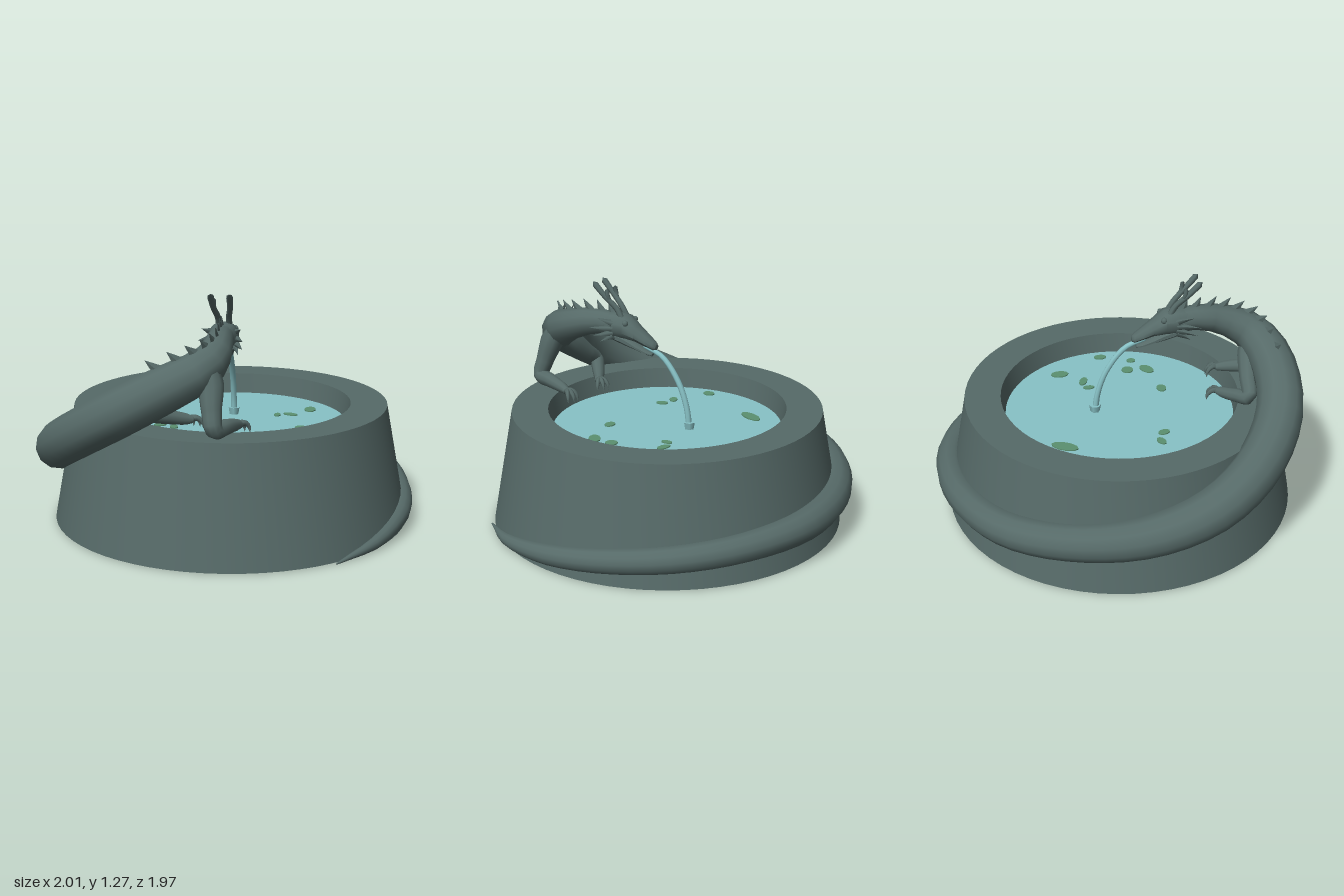
import * as THREE from 'three';
import { toCreasedNormals } from 'three/addons/utils/BufferGeometryUtils.js';

const CX = 0.02, CZ = 0.03, WATER_Y = 0.51;
const V = (x, y, z) => new THREE.Vector3(x, y, z);
const paint = (name, color) => {
  const m = new THREE.MeshStandardMaterial({ color });
  m.name = name;
  return m;
};

// Smooth path through [x, y, z, radius] rows.
const pathOf = rows => new THREE.CatmullRomCurve3(rows.map(p => V(p[0], p[1], p[2])));

// Radius between two rows at curve parameter t.
function radiusAt(rows, t) {
  const f = t * (rows.length - 1), i = Math.min(Math.floor(f), rows.length - 2);
  return THREE.MathUtils.lerp(rows[i][3], rows[i + 1][3], f - i);
}

// Tube whose rings are scaled to the radii in the rows.
function taperedTube(rows, steps, sides) {
  const curve = pathOf(rows);
  const geo = new THREE.TubeGeometry(curve, steps, 1, sides);
  const pos = geo.attributes.position, v = V(0, 0, 0);
  for (let i = 0; i <= steps; i++) {
    const c = curve.getPointAt(i / steps);
    const r = radiusAt(rows, curve.getUtoTmapping(i / steps));
    for (let j = 0; j <= sides; j++) {
      const k = i * (sides + 1) + j;
      v.fromBufferAttribute(pos, k).sub(c).multiplyScalar(r).add(c);
      pos.setXYZ(k, v.x, v.y, v.z);
    }
  }
  return geo;
}

// Elliptical sections [z, y, halfWidth, halfHeight] running towards -z, closed at both ends.
function loft(sections, sides) {
  const first = sections[0], last = sections[sections.length - 1];
  const rings = [[first[0], first[1], 0, 0], ...sections, [last[0], last[1], 0, 0]];
  const pos = [], index = [];
  rings.forEach(([z, y, w, h], i) => {
    for (let j = 0; j < sides; j++) {
      const a = (j + 0.5) / sides * Math.PI * 2;
      pos.push(CX + Math.cos(a) * w, y + Math.sin(a) * h, z);
      if (i === rings.length - 1) continue;
      const k = i * sides + j, n = i * sides + (j + 1) % sides;
      index.push(k, k + sides, n, n, k + sides, n + sides);
    }
  });
  const geo = new THREE.BufferGeometry();
  geo.setAttribute('position', new THREE.Float32BufferAttribute(pos, 3));
  geo.setIndex(index);
  return toCreasedNormals(geo, 0.8);
}

export function createModel() {
  const stone = paint('stone', 0x566a68);
  const water = paint('water', 0x88c2c6);
  const leaf = paint('lily green', 0x5b9070);
  const model = new THREE.Group();
  model.name = 'dragonFountain';
  const add = (name, geo, mat = stone, parent = model) => {
    const m = new THREE.Mesh(geo, mat);
    m.name = name;
    parent.add(m);
    return m;
  };

  // Basin and pool
  const profile = [[0, 0], [0.955, 0], [0.84, 0.62], [0.645, 0.62], [0.615, 0.47], [0, 0.47]];
  const basin = new THREE.LatheGeometry(profile.map(p => new THREE.Vector2(...p)), 64);
  add('basin', toCreasedNormals(basin, 0.6)).position.set(CX, 0, CZ);
  const pool = add('poolWater', new THREE.CircleGeometry(0.623, 64), water);
  pool.rotation.x = -Math.PI / 2;
  pool.position.set(CX, WATER_Y, CZ);

  // Lily pads: x, z, half width, half length, turn
  const pads = [[-0.3, -0.32, 0.035, 0.075, -0.5], [0.43, -0.24, 0.032, 0.05, 0], [0.26, -0.1, 0.018, 0.032, 0],
    [0.33, -0.12, 0.042, 0.022, -0.4], [0.58, 0.02, 0.024, 0.036, 0], [-0.53, 0.06, 0.03, 0.035, -0.4],
    [-0.34, 0.19, 0.034, 0.022, 0.4], [-0.26, 0.22, 0.022, 0.034, 0.3], [0.41, 0.15, 0.034, 0.034, 0],
    [0.51, 0.19, 0.022, 0.026, 0], [0.4, 0.26, 0.05, 0.032, 0.6], [0.18, 0.3, 0.035, 0.027, 0]];
  for (const [x, z, w, l, turn] of pads) {
    const pad = add('lilyPad', new THREE.CylinderGeometry(1, 1, 0.006, 10), leaf);
    pad.scale.set(w, 1, l);
    pad.rotation.y = turn;
    pad.position.set(x, WATER_Y + 0.003, z);
  }

  // Jet from the mouth and its splash
  add('waterJet', taperedTube([[CX, 0.935, 0.17, 0.012], [CX, 0.89, 0.06, 0.015], [CX, 0.76, -0.04, 0.016],
    [CX, 0.62, -0.09, 0.016], [CX, 0.5, -0.105, 0.018]], 16, 8), water);
  add('splash', new THREE.CylinderGeometry(0.033, 0.026, 0.04, 6), water).position.set(CX, WATER_Y + 0.018, -0.105);

  // Body: tail tip, once round the basin, up over the rim to the neck
  const body = [[0.64, 0.0, 0.78, 0.004], [0.83, 0.035, 0.53, 0.035], [0.94, 0.08, 0.2, 0.055],
    [0.93, 0.12, -0.13, 0.065], [0.82, 0.16, -0.46, 0.07], [0.58, 0.185, -0.72, 0.075],
    [0.22, 0.2, -0.885, 0.085], [-0.2, 0.215, -0.87, 0.09], [-0.58, 0.235, -0.67, 0.095],
    [-0.81, 0.275, -0.33, 0.1], [-0.89, 0.33, 0.04, 0.112], [-0.85, 0.43, 0.37, 0.122],
    [-0.69, 0.565, 0.63, 0.125], [-0.45, 0.72, 0.79, 0.125], [-0.2, 0.86, 0.81, 0.118],
    [-0.03, 0.945, 0.74, 0.105], [0.02, 1.0, 0.62, 0.085], [0.02, 1.035, 0.48, 0.07], [0.02, 1.035, 0.34, 0.062]];
  add('body', taperedTube(body, 60, 12));

  // Back spines, leaning towards the tail
  const spine = pathOf(body), end = body.length - 1;
  for (let f = 14; f <= 17.7; f += 0.46) {
    const t = f / end, dir = spine.getTangent(t);
    const up = V(0, 1, 0).addScaledVector(dir, -dir.y).normalize();
    const lean = up.clone().addScaledVector(dir, -0.45).normalize();
    const side = V(0, 0, 0).crossVectors(lean, dir).normalize();
    const along = V(0, 0, 0).crossVectors(side, lean);
    const spike = add('backSpine', new THREE.ConeGeometry(0.028, 0.075, 4).toNonIndexed());
    spike.geometry.computeVertexNormals();
    spike.scale.x = 0.4;
    spike.quaternion.setFromRotationMatrix(new THREE.Matrix4().makeBasis(side, lean, along));
    spike.position.copy(spine.getPoint(t)).addScaledVector(up, radiusAt(body, t) + 0.02);
  }

  // Head with open jaws
  const head = new THREE.Group();
  head.name = 'head';
  model.add(head);
  add('skull', loft([[0.42, 1.03, 0.06, 0.062], [0.34, 1.035, 0.082, 0.073], [0.27, 1.03, 0.077, 0.068],
    [0.21, 1.0, 0.058, 0.046], [0.15, 0.967, 0.044, 0.033], [0.11, 0.945, 0.033, 0.025], [0.095, 0.94, 0.018, 0.015]], 10), stone, head);
  add('lowerJaw', loft([[0.36, 0.985, 0.06, 0.035], [0.27, 0.955, 0.052, 0.032], [0.21, 0.927, 0.04, 0.018],
    [0.15, 0.902, 0.028, 0.012], [0.12, 0.893, 0.014, 0.008]], 10), stone, head);

  for (const s of [-1, 1]) {
    const at = (x, y, z, r) => [CX + s * x, y, z, r];
    add('brow', new THREE.SphereGeometry(0.018, 8, 6), stone, head).position.set(CX + s * 0.052, 1.06, 0.26);
    // Branched horns
    add('horn', taperedTube([at(0.028, 1.07, 0.29, 0.017), at(0.028, 1.13, 0.325, 0.016),
      at(0.042, 1.19, 0.385, 0.015), at(0.048, 1.265, 0.455, 0.018), at(0.048, 1.268, 0.458, 0.001)], 14, 7), stone, head);
    add('hornBranch', taperedTube([at(0.035, 1.16, 0.36, 0.012), at(0.044, 1.2, 0.372, 0.012),
      at(0.04, 1.235, 0.376, 0.012), at(0.04, 1.237, 0.376, 0.001)], 8, 6), stone, head);
    // Cheek frill
    for (const [dx, y, z] of [[0.1, 1.085, 0.41], [0.115, 1.03, 0.45], [0.11, 0.985, 0.43], [0.085, 0.95, 0.4]]) {
      const root = V(CX + s * 0.06, 1.02 + (y - 1.02) * 0.5, 0.33), tip = V(CX + s * dx, y, z);
      const dir = tip.clone().sub(root);
      const spike = add('cheekSpike', new THREE.ConeGeometry(0.021, dir.length(), 5), stone, head);
      spike.position.copy(root).add(tip).multiplyScalar(0.5);
      spike.quaternion.setFromUnitVectors(V(0, 1, 0), dir.normalize());
    }
  }

  // Forelegs: shoulder, elbow and foot on the rim, with claws over its inner edge
  const legs = [
    ['leftForeleg', [[0.0, 0.96, 0.74, 0.05], [0.02, 0.88, 0.77, 0.066], [0.03, 0.76, 0.815, 0.05],
      [0.045, 0.675, 0.835, 0.044], [0.09, 0.667, 0.74, 0.04], [0.125, 0.652, 0.64, 0.03], [0.14, 0.642, 0.6, 0.02]], 0.3],
    ['rightForeleg', [[-0.03, 0.92, 0.74, 0.05], [-0.1, 0.85, 0.71, 0.062], [-0.2, 0.765, 0.685, 0.048],
      [-0.285, 0.7, 0.67, 0.04], [-0.22, 0.675, 0.62, 0.037], [-0.14, 0.652, 0.565, 0.03], [-0.11, 0.645, 0.545, 0.02]], 0.6],
  ];
  for (const [name, rows, heading] of legs) {
    const leg = new THREE.Group();
    leg.name = name;
    model.add(leg);
    add('limb', taperedTube(rows, 24, 10), stone, leg);
    const [x, y, z] = rows[rows.length - 1];
    for (const spread of [-0.6, 0, 0.6]) {
      const dx = Math.sin(heading + spread), dz = -Math.cos(heading + spread);
      add('claw', taperedTube([[x - dx * 0.02, y, z - dz * 0.02, 0.018], [x + dx * 0.03, y + 0.005, z + dz * 0.03, 0.015],
        [x + dx * 0.055, y - 0.02, z + dz * 0.055, 0.01], [x + dx * 0.06, y - 0.05, z + dz * 0.06, 0.001]], 8, 6), stone, leg);
    }
  }
  return model;
}
